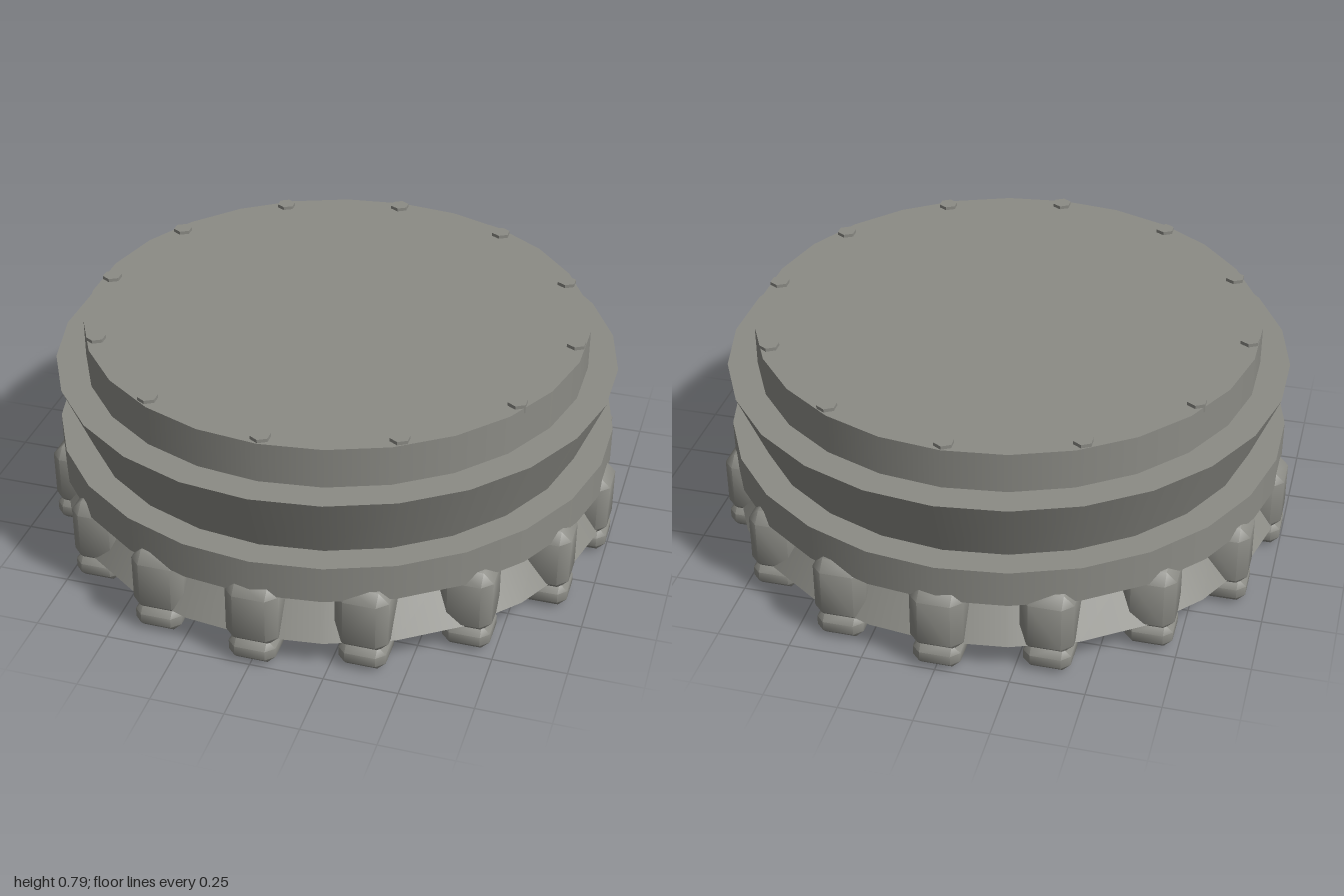
import * as THREE from 'three';
import { ConvexGeometry } from 'three/addons/geometries/ConvexGeometry.js';
import { toCreasedNormals } from 'three/addons/utils/BufferGeometryUtils.js';

const SIDES = 26;
const material = new THREE.MeshStandardMaterial({ color: 0x8b8b85 });

// Box with every edge and corner cut off by the bevel, softly shaded, standing from y0 to y1
function chamferedBox(half, y0, y1, bevel) {
  const h = [half, (y1 - y0) / 2, half];
  const points = [];
  for (const sx of [-1, 1]) for (const sy of [-1, 1]) for (const sz of [-1, 1]) {
    for (let axis = 0; axis < 3; axis++) {
      const p = h.map((v, i) => (i === axis ? v : v - bevel));
      points.push(new THREE.Vector3(sx * p[0], sy * p[1] + (y0 + y1) / 2, sz * p[2]));
    }
  }
  return toCreasedNormals(new ConvexGeometry(points), 0.9);
}

// Calls place(x, z) at evenly spaced points around the axis
function ring(count, radius, place) {
  for (let i = 0; i < count; i++) {
    const a = (i / count) * Math.PI * 2;
    place(Math.sin(a) * radius, Math.cos(a) * radius);
  }
}

export function createModel() {
  const model = new THREE.Group();
  model.name = 'roundBase';

  const add = (name, geometry, x = 0, y = 0, z = 0, parent = model) => {
    const mesh = new THREE.Mesh(geometry, material);
    mesh.name = name;
    mesh.position.set(x, y, z);
    parent.add(mesh);
  };
  const band = (name, rBottom, rTop, y0, y1) =>
    add(name, new THREE.CylinderGeometry(rTop, rBottom, y1 - y0, SIDES), 0, (y0 + y1) / 2, 0);

  // Stacked body, bottom to top
  band('flaredSkirt', 0.977, 0.86, 0.1, 0.27);
  band('lowerDrum', 0.977, 0.977, 0.27, 0.4);
  band('taperedCollar', 0.88, 0.977, 0.4, 0.64);
  band('topPlate', 0.874, 0.874, 0.64, 0.78);

  // Hexagonal bolts on the top plate
  const bolts = new THREE.Group();
  bolts.name = 'bolts';
  model.add(bolts);
  const boltGeometry = toCreasedNormals(new THREE.CylinderGeometry(0.034, 0.034, 0.03, 6), 0.5);
  ring(12, 0.837, (x, z) => add('bolt', boltGeometry, x, 0.777, z, bolts));

  // Feet around the skirt, all square to the axes
  const feet = new THREE.Group();
  feet.name = 'feet';
  model.add(feet);
  const blockGeometry = chamferedBox(0.09, 0.07, 0.302, 0.035);
  const padGeometry = chamferedBox(0.08, 0, 0.09, 0.028);
  ring(16, 0.91, (x, z) => {
    add('footBlock', blockGeometry, x, 0, z, feet);
    add('footPad', padGeometry, x * 1.01, 0, z * 1.01, feet);
  });

  return model;
}
